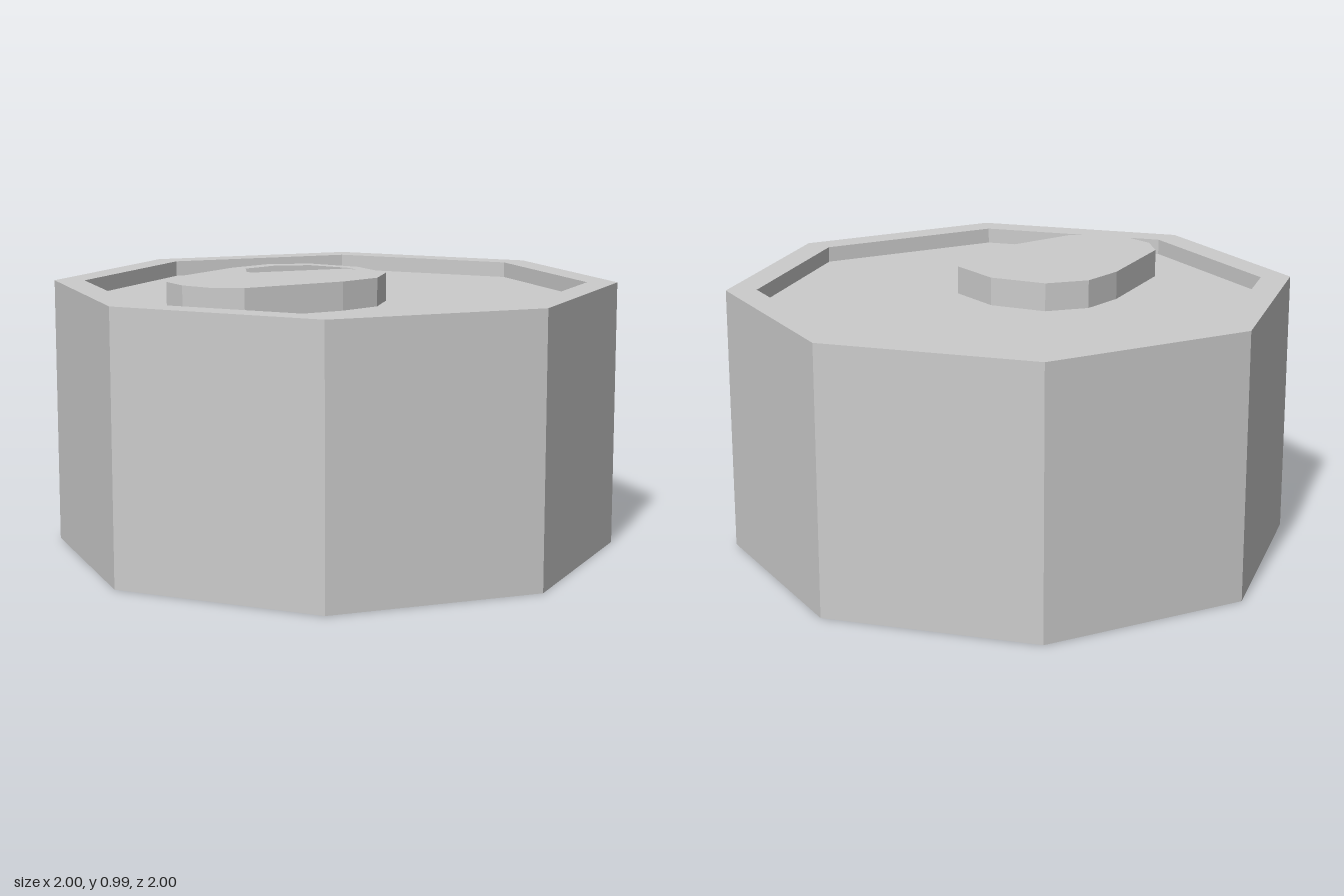
import * as THREE from 'three';

const FLOOR = 0.888, TAB_TOP = 0.987;

// Closed outline from its right half [x, z], mirrored to the left; laid out for rotateX(-90°)
function mirrored(half) {
  const left = half.slice(1, -1).reverse().map(([x, z]) => [-x, z]);
  return [...half, ...left].map(([x, z]) => new THREE.Vector2(x, -z));
}

export function createModel() {
  const group = new THREE.Group();
  const material = new THREE.MeshStandardMaterial({ color: 0xcccccc, flatShading: true });

  // Octagonal can with recessed bottom and lid
  const profile = [
    [0, 0.046], [0.893, 0.046], [0.893, 0], [1, 0],
    [1, 0.944], [0.893, 0.944], [0.893, FLOOR], [0, FLOOR],
  ].map(([r, y]) => new THREE.Vector2(r, y));
  const can = new THREE.Mesh(new THREE.LatheGeometry(profile, 8), material);
  can.name = 'canBody';
  group.add(can);

  // Pull tab with a finger hole, standing on the lid
  const outline = new THREE.Shape(mirrored([
    [0, -0.114], [0.198, -0.06], [0.287, 0.07], [0.287, 0.232],
    [0.198, 0.593], [0.112, 0.673], [0, 0.696],
  ]));
  outline.holes.push(new THREE.Path(mirrored([
    [0, -0.066], [0.157, -0.024], [0.232, 0.08],
    [0.232, 0.218], [0.155, 0.279], [0, 0.303],
  ])));
  const tabGeometry = new THREE.ExtrudeGeometry(outline, { depth: TAB_TOP - FLOOR, bevelEnabled: false });
  tabGeometry.rotateX(-Math.PI / 2);
  const tab = new THREE.Mesh(tabGeometry, material);
  tab.name = 'pullTab';
  tab.position.y = FLOOR;
  group.add(tab);

  return group;
}
